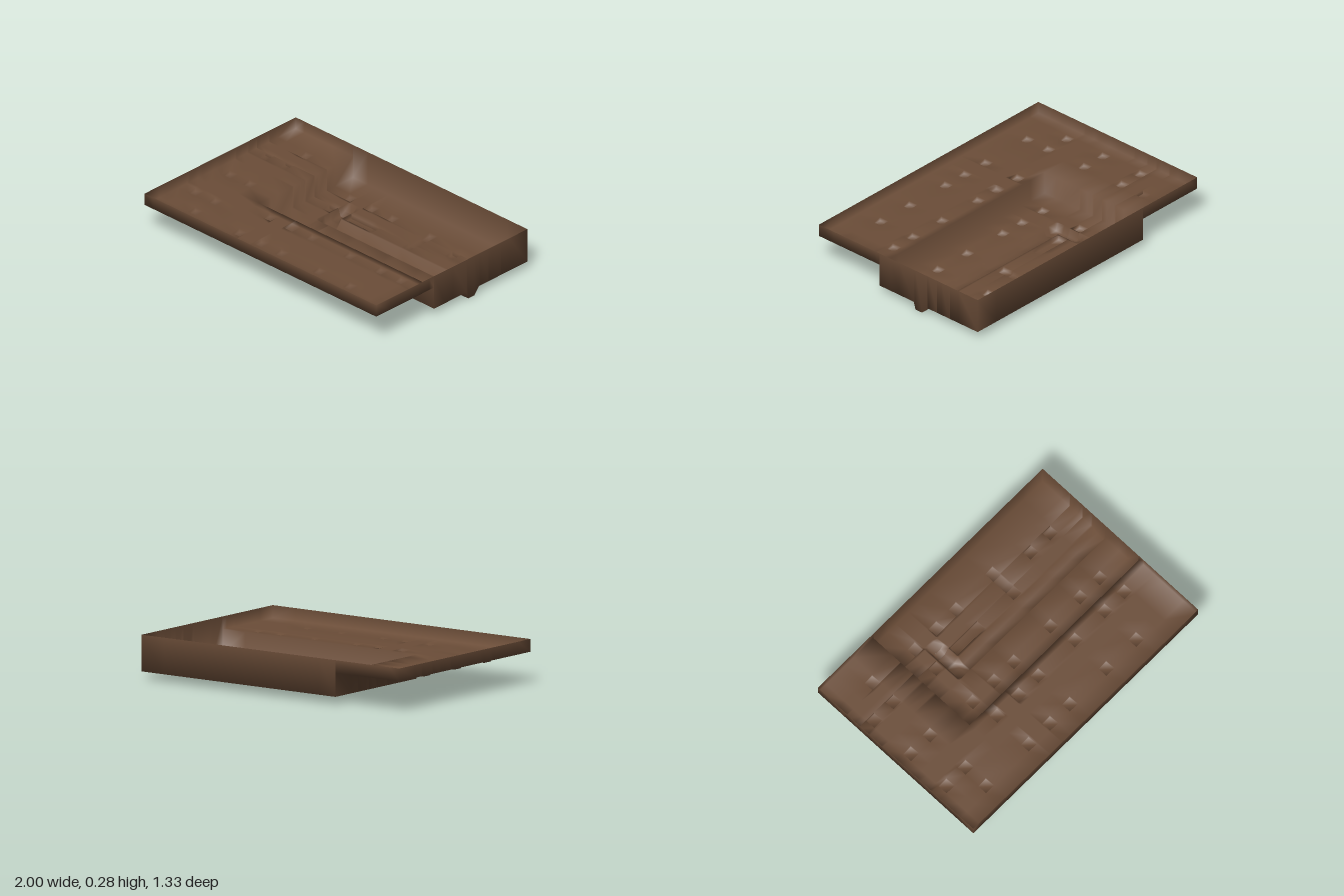
import * as THREE from 'three';
import { mergeVertices } from 'three/addons/utils/BufferGeometryUtils.js';

const X = 1, Z = 0.667, RIM = 0.28, HALF = 0.036;
const STEP_X = -0.505, STEP_Z = 0.157; // corner of the sunken floor

// Small square pits: rows of [z, list of x]
const pitRows = [
  [-0.47, [-0.72, -0.34, -0.15, 0.025]],
  [-0.40, [0.615, 0.79]],
  [-0.29, [-0.89, -0.72, -0.34]],
  [0.025, [-0.89, -0.72, -0.34, -0.15, 0.025, 0.35, 0.615, 0.79]],
  [0.235, [-0.34, -0.15, 0.025, 0.35, 0.615, 0.79]],
  [0.33, [-0.89, -0.72]],
  [0.505, [-0.72, -0.34, -0.15, 0.025, 0.35, 0.615]],
];
const pits = pitRows.flatMap(([z, xs]) => xs.map((x) => [x - HALF, x + HALF, z - HALF, z + HALF]));
// Two long slots
pits.push([-0.186, 0.061, -0.326, -0.254], [0.314, 0.386, -0.506, -0.254]);

// L-shaped channel with sloping sides: 0 outside, 1 on its bed
function channel(x, z) {
  const outer = Math.min((-0.13 - z) / 0.015, (x + 0.295) / 0.015);
  const strip = Math.min(outer, (z + 0.24) / 0.04);
  const leg = Math.min(outer, (-0.195 - x) / 0.03, (z + 0.42) / 0.095);
  return THREE.MathUtils.clamp(Math.max(strip, leg), 0, 1);
}

// Height of the tray floor
function floorHeight(x, z) {
  if (Math.abs(x) > X || Math.abs(z) > Z) return RIM;
  const sunken = x > STEP_X && z < STEP_Z;
  const inPit = pits.some(([x0, x1, z0, z1]) => x > x0 && x < x1 && z > z0 && z < z1);
  let y = sunken ? 0.05 - 0.05 * channel(x, z) : 0.2;
  if (inPit) y -= sunken ? 0.029 : 0.026;
  return y;
}

const sortedLines = (values) =>
  [...new Set(values.map((v) => Math.round(v * 1000) / 1000))].sort((a, b) => a - b);

function traySheet() {
  const xs = sortedLines([-X, X, STEP_X, -0.295, -0.28, -0.225, -0.195, ...pits.flatMap((p) => [p[0], p[1]])]);
  const zs = sortedLines([-Z, Z, STEP_Z, -0.13, -0.145, -0.2, -0.24, -0.325, -0.42, ...pits.flatMap((p) => [p[2], p[3]])]);
  const position = [];
  const tri = (a, b, c) => position.push(...a, ...b, ...c);
  const quad = (a, b, c, d) => { tri(a, b, c); tri(a, c, d); };
  const e = 1e-4;
  // Corner point, with its height taken just to one side of the grid line
  const corner = (x, z, sx, sz) => [x, floorHeight(x + sx * e, z + sz * e), z];
  // Upright face wherever the two sides of a grid line differ in height
  const riser = (a0, a1, b0, b1) => {
    if (Math.abs(a0[1] - b0[1]) > 0.002 || Math.abs(a1[1] - b1[1]) > 0.002) quad(a0, a1, b1, b0);
  };

  // Floor cells
  for (let i = 0; i < xs.length - 1; i++) {
    for (let j = 0; j < zs.length - 1; j++) {
      const [x0, x1, z0, z1] = [xs[i], xs[i + 1], zs[j], zs[j + 1]];
      quad(corner(x0, z0, 1, 1), corner(x0, z1, 1, -1), corner(x1, z1, -1, -1), corner(x1, z0, -1, 1));
    }
  }
  // Risers and outer walls across x
  for (const x of xs) {
    for (let j = 0; j < zs.length - 1; j++) {
      const [z0, z1] = [zs[j], zs[j + 1]];
      riser(corner(x, z0, -1, 1), corner(x, z1, -1, -1), corner(x, z0, 1, 1), corner(x, z1, 1, -1));
    }
  }
  // Risers and outer walls across z
  for (const z of zs) {
    for (let i = 0; i < xs.length - 1; i++) {
      const [x0, x1] = [xs[i], xs[i + 1]];
      riser(corner(x1, z, -1, -1), corner(x0, z, 1, -1), corner(x1, z, -1, 1), corner(x0, z, 1, 1));
    }
  }

  let geometry = new THREE.BufferGeometry();
  geometry.setAttribute('position', new THREE.Float32BufferAttribute(position, 3));
  geometry = mergeVertices(geometry, 1e-3);
  geometry.computeVertexNormals();
  return geometry;
}

export function createModel() {
  const group = new THREE.Group();
  group.name = 'steppedTray';
  const material = new THREE.MeshStandardMaterial({ color: 0x6b4d38, side: THREE.DoubleSide });
  const tray = new THREE.Mesh(traySheet(), material);
  tray.name = 'traySheet';
  group.add(tray);
  return group;
}
